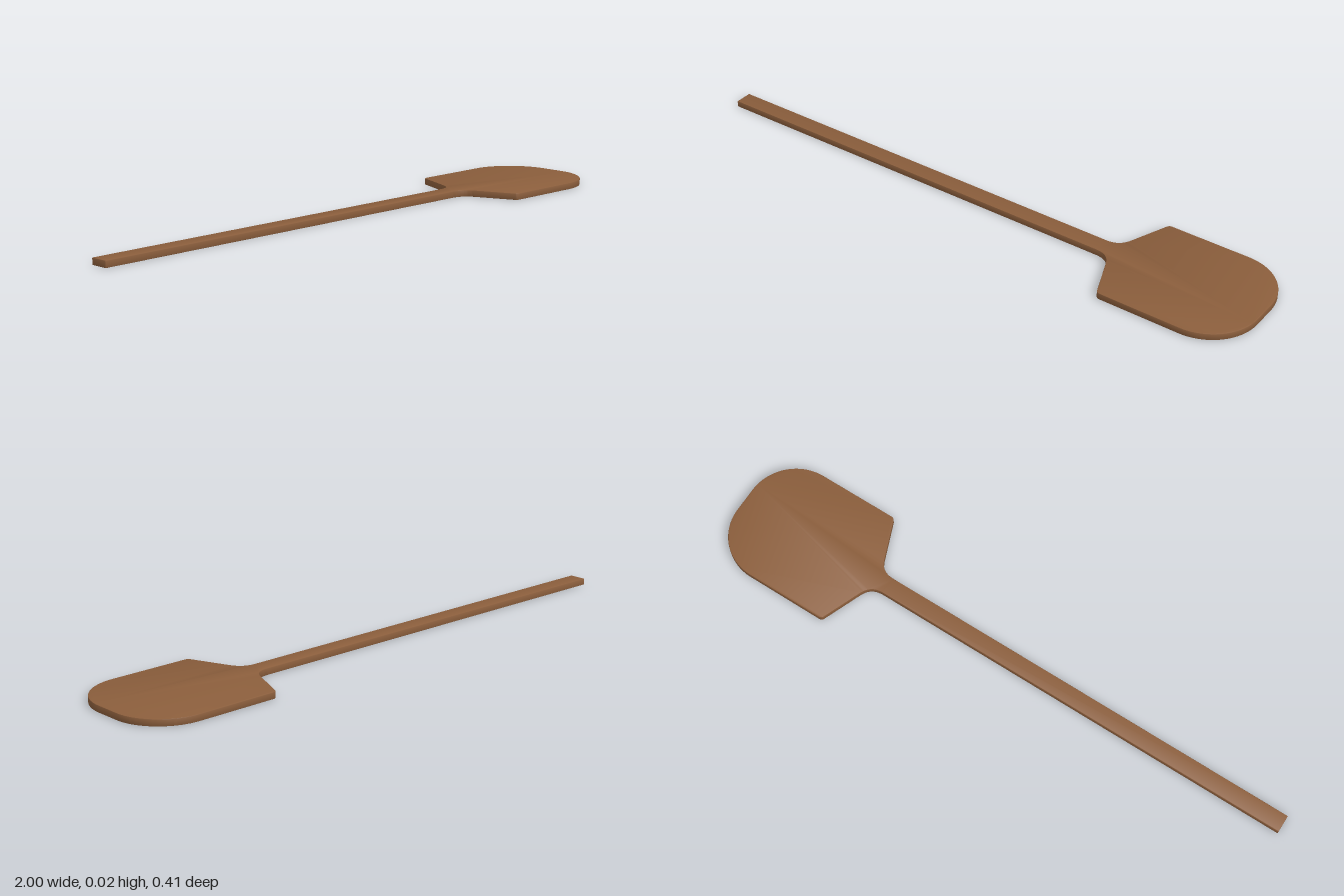
import * as THREE from 'three';
import { toCreasedNormals } from 'three/addons/utils/BufferGeometryUtils.js';

const THICKNESS = 0.022;
const BEVEL = 0.002;

// Flat outline, long axis on x; s = -1 is one edge, s = 1 the mirrored edge
function paddleOutline() {
  const s = new THREE.Shape();
  s.moveTo(-1, -0.029);
  s.lineTo(0.44, -0.029);
  s.bezierCurveTo(0.475, -0.029, 0.492, -0.042, 0.504, -0.07); // neck fillet
  s.lineTo(0.554, -0.195);
  s.quadraticCurveTo(0.558, -0.206, 0.57, -0.206); // shoulder corner
  s.lineTo(0.835, -0.206);
  s.absarc(0.835, -0.041, 0.165, -Math.PI / 2, 0, false); // rounded tip
  s.lineTo(1, 0.041);
  s.absarc(0.835, 0.041, 0.165, 0, Math.PI / 2, false);
  s.lineTo(0.57, 0.206);
  s.quadraticCurveTo(0.558, 0.206, 0.554, 0.195);
  s.lineTo(0.504, 0.07);
  s.bezierCurveTo(0.492, 0.042, 0.475, 0.029, 0.44, 0.029);
  s.lineTo(-1, 0.029);
  s.closePath();
  return s;
}

export function createModel() {
  const group = new THREE.Group();
  group.name = 'woodenPaddle';

  const wood = new THREE.MeshStandardMaterial({ color: 0x8b5e3c });
  wood.name = 'brown wood';

  // Handle and blade are cut from one board with softened edges
  const geometry = new THREE.ExtrudeGeometry(paddleOutline(), {
    depth: THICKNESS - 2 * BEVEL,
    curveSegments: 16,
    bevelEnabled: true,
    bevelThickness: BEVEL,
    bevelSize: BEVEL,
    bevelOffset: -BEVEL,
    bevelSegments: 2,
  });
  geometry.rotateX(-Math.PI / 2);
  geometry.translate(0, BEVEL, 0);

  const board = new THREE.Mesh(toCreasedNormals(geometry, 0.5), wood);
  board.name = 'handleAndBlade';
  group.add(board);
  return group;
}
